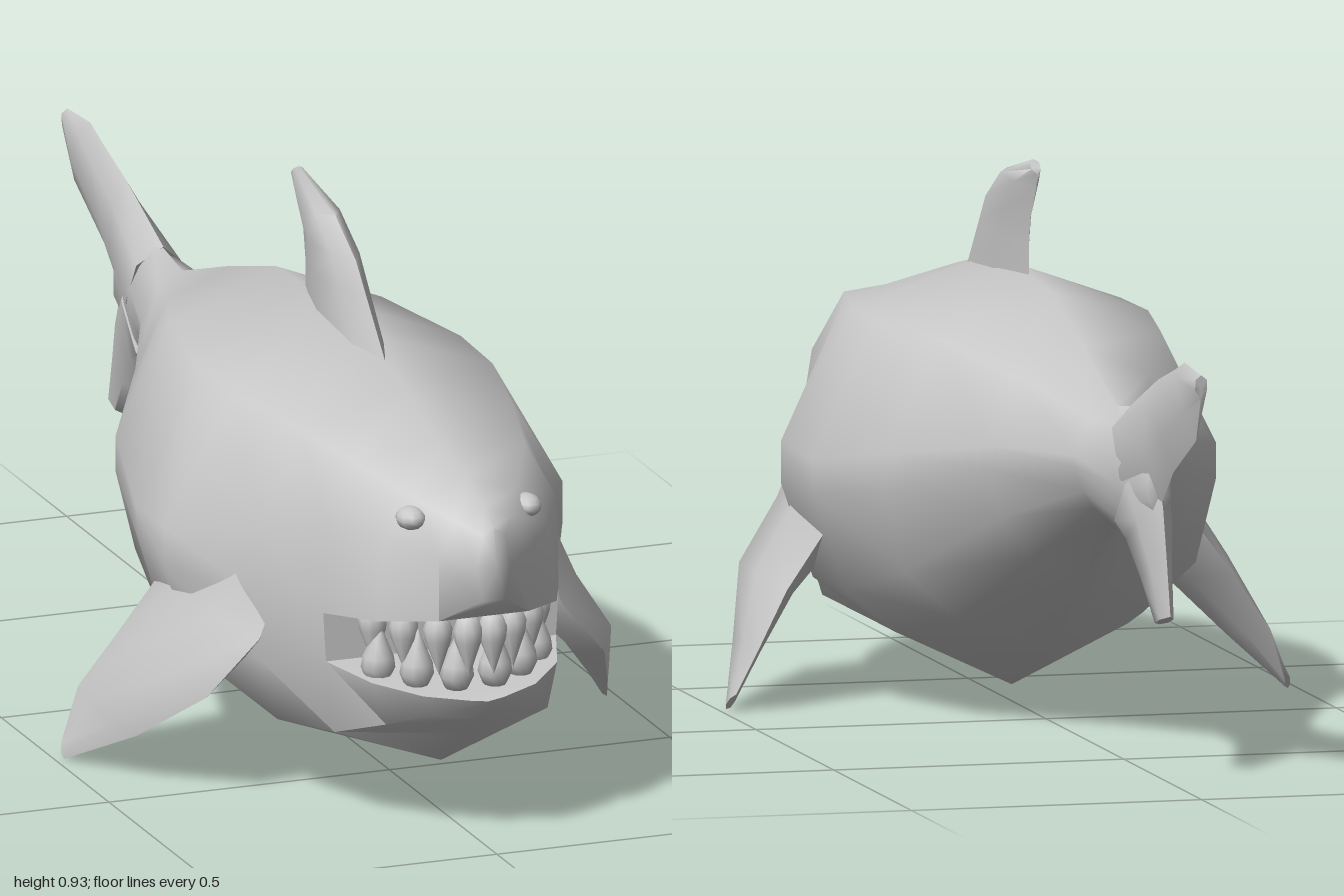
import * as THREE from 'three';
import { toCreasedNormals } from 'three/addons/utils/BufferGeometryUtils.js';

const V = (x, y, z) => new THREE.Vector3(x, y, z);

// Turns half a cross-section (top to bottom, x >= 0) into a full loop
function ring(z, half) {
  const right = half.map(([x, y]) => V(x, y, z));
  const left = half.filter(([x]) => x > 0).reverse().map(([x, y]) => V(-x, y, z));
  return [...right, ...left];
}

// Joins loops into a skin; startTip and endTip close the ends when given
function loft(rings, startTip, endTip) {
  const tris = [];
  const n = rings[0].length;
  for (let r = 0; r + 1 < rings.length; r++) {
    for (let i = 0; i < n; i++) {
      const j = (i + 1) % n, a = rings[r], b = rings[r + 1];
      tris.push(a[i], a[j], b[j], a[i], b[j], b[i]);
    }
  }
  const last = rings[rings.length - 1];
  for (let i = 0; i < n; i++) {
    const j = (i + 1) % n;
    if (startTip) tris.push(startTip, rings[0][j], rings[0][i]);
    if (endTip) tris.push(endTip, last[i], last[j]);
  }
  return tris;
}

function toGeometry(tris, crease) {
  const geometry = new THREE.BufferGeometry().setFromPoints(tris);
  geometry.computeVertexNormals();
  return toCreasedNormals(geometry, crease);
}

// Fin from stations [leading edge, trailing edge, half thickness]
function finGeometry(stations, normal) {
  const rings = stations.map(([l, t, thick]) => {
    const lead = V(...l), trail = V(...t);
    const at = (f, s) => lead.clone().lerp(trail, f).addScaledVector(normal, s * thick);
    return [lead, at(0.2, 1), at(0.65, 1), trail, at(0.65, -1), at(0.2, -1)];
  });
  const mid = (loop) => loop[0].clone().lerp(loop[3], 0.5);
  const tris = loft(rings, mid(rings[0]), mid(rings[rings.length - 1]));
  // Turn the skin outwards
  let volume = 0;
  const centre = mid(rings[1]);
  for (let i = 0; i < tris.length; i += 3) {
    const [a, b, c] = [0, 1, 2].map((k) => tris[i + k].clone().sub(centre));
    volume += a.dot(b.cross(c));
  }
  return toGeometry(volume < 0 ? tris.reverse() : tris, 1.35);
}

export function createModel() {
  const group = new THREE.Group();
  const grey = new THREE.MeshStandardMaterial({ color: 0xc8c8c8 });
  grey.name = 'grey';
  const add = (name, geometry) => {
    const mesh = new THREE.Mesh(geometry, grey);
    mesh.name = name;
    group.add(mesh);
    return mesh;
  };

  // Trunk, from the corners of the mouth back to the tail root
  const neck = [[0, .645], [.15, .625], [.205, .53], [.21, .37], [.205, .285], [.19, .16], [0, .09]];
  const trunk = [
    [.74, neck],
    [.58, [[0, .69], [.19, .64], [.26, .48], [.27, .36], [.265, .25], [.23, .14], [0, .075]]],
    [.38, [[0, .73], [.23, .65], [.355, .43], [.355, .36], [.3, .2], [.2, .125], [0, .05]]],
    [.22, [[0, .74], [.235, .65], [.345, .42], [.34, .36], [.29, .2], [.2, .125], [0, .03]]],
    [-.03, [[0, .725], [.19, .65], [.285, .46], [.285, .4], [.25, .26], [.16, .18], [0, .135]]],
    [-.25, [[0, .66], [.11, .61], [.165, .5], [.165, .46], [.14, .38], [.09, .31], [0, .27]]],
    [-.46, [[0, .59], [.045, .57], [.075, .51], [.075, .49], [.06, .45], [.04, .42], [0, .4]]],
    [-.6, [[0, .61], [.025, .58], [.042, .52], [.042, .48], [.035, .44], [.025, .41], [0, .375]]],
    [-.73, [[0, .56], [.01, .54], [.02, .51], [.02, .49], [.02, .47], [.01, .45], [0, .43]]],
  ].map(([z, half]) => ring(z, half));

  // Snout and upper jaw
  const snout = [
    [.985, [[0, .567], [.02, .555], [.03, .5], [.02, .44]]],
    [.94, [[0, .588], [.05, .57], [.08, .51], [.08, .4]]],
    [.86, [[0, .615], [.09, .59], [.145, .52], [.16, .385]]],
    [.74, neck.slice(0, 4)],
  ].map(([z, half]) => ring(z, half));

  // Lower jaw
  const jaw = [
    [.955, [[.03, .26], [.02, .254], [0, .25]]],
    [.92, [[.1, .265], [.08, .23], [0, .215]]],
    [.85, [[.165, .275], [.14, .2], [0, .17]]],
    [.74, neck.slice(4)],
  ].map(([z, half]) => ring(z, half));

  // Back wall of the mouth
  const [ur, lr] = [V(.21, .37, .74), V(.205, .285, .74)];
  const [ul, ll] = [V(-.21, .37, .74), V(-.205, .285, .74)];
  const throat = [ur, ul, ll, ur, ll, lr];

  add('body', toGeometry([
    ...loft(trunk, null, V(0, .5, -.74)),
    ...loft(snout, V(0, .505, 1)),
    ...loft(jaw, V(0, .257, .96)),
    ...throat,
  ], 1.05));

  // Dorsal fin and tail lobes
  const side = V(1, 0, 0);
  add('dorsalFin', finGeometry([
    [[0, .69, .5], [0, .7, .11], .028],
    [[0, .8, .39], [0, .78, .11], .026],
    [[0, .845, .345], [0, .83, .1], .025],
    [[0, .895, .25], [0, .885, .062], .022],
    [[0, .932, .08], [0, .91, .055], .008],
  ], side));
  add('upperTailLobe', finGeometry([
    [[0, .605, -.55], [0, .43, -.66], .04],
    [[0, .67, -.72], [0, .47, -.75], .024],
    [[0, .702, -.83], [0, .528, -.82], .02],
    [[0, .722, -.89], [0, .6, -.965], .016],
    [[0, .715, -.998], [0, .675, -.995], .01],
  ], side));
  add('lowerTailLobe', finGeometry([
    [[0, .385, -.55], [0, .54, -.7], .038],
    [[0, .373, -.595], [0, .46, -.752], .03],
    [[0, .315, -.665], [0, .39, -.772], .02],
    [[0, .26, -.73], [0, .282, -.8], .012],
  ], side));

  // Lathe profile shared by all teeth, point upwards
  const tooth = new THREE.LatheGeometry(
    [[0, 0], [.02, .004], [.029, .025], [.026, .045], [.013, .075], [0, .105]]
      .map(([x, y]) => new THREE.Vector2(x, y)), 10);
  const lowerTeeth = [[.034, .91], [.092, .875], [.14, .82]];
  const upperTeeth = [[.022, .93], [.066, .905], [.112, .865], [.146, .81]];

  for (const s of [1, -1]) {
    const label = s > 0 ? 'left' : 'right';

    // Pectoral fin, sweeping down, out and back
    add(label + 'PectoralFin', finGeometry([
      [[s * .24, .37, .6], [s * .3, .38, .28], .04],
      [[s * .27, .29, .6], [s * .32, .29, .24], .05],
      [[s * .355, .19, .575], [s * .385, .2, .23], .038],
      [[s * .42, .085, .42], [s * .44, .11, .2], .018],
      [[s * .484, .002, .25], [s * .475, .03, .22], .005],
    ], V(s * .85, .5, 0)));

    // Eye bump under the brow
    const eye = add(label + 'Eye', new THREE.SphereGeometry(.028, 10, 8));
    eye.position.set(s * .103, .562, .868);
    eye.scale.set(.9, .7, 1.1);

    for (const [x, z] of lowerTeeth) {
      const mesh = add(label + 'LowerTooth', tooth);
      mesh.position.set(s * x, .265, z - .01);
      mesh.rotation.x = .08;
    }
    for (const [x, z] of upperTeeth) {
      const mesh = add(label + 'UpperTooth', tooth);
      mesh.position.set(s * x, .398, z - .01);
      mesh.rotation.x = Math.PI - .08;
      mesh.scale.set(.85, 1, .85);
    }
  }
  return group;
}
